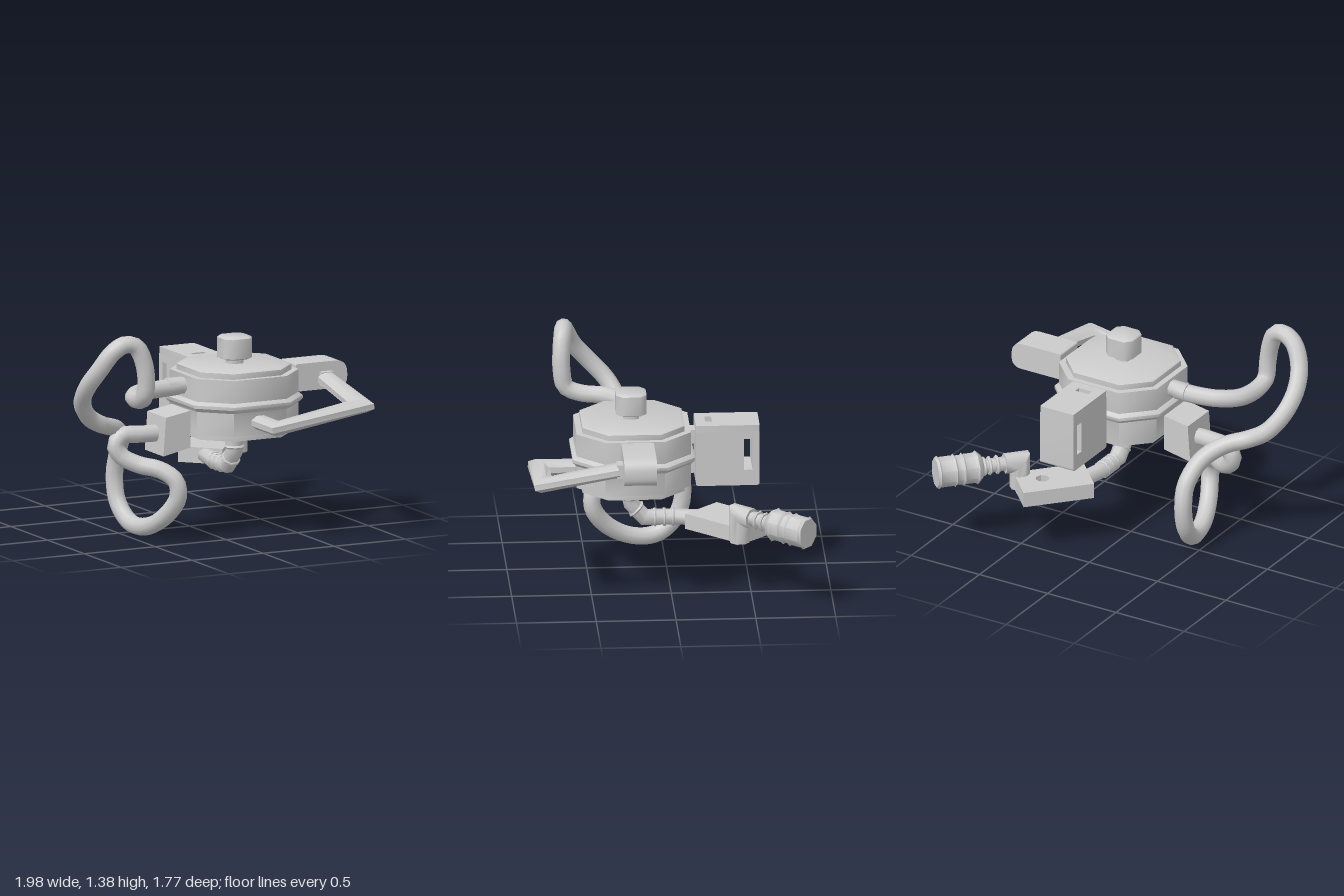
import * as THREE from 'three';
import { toCreasedNormals } from 'three/addons/utils/BufferGeometryUtils.js';

const V = (x, y, z) => new THREE.Vector3(x, y, z);
const UP = V(0, 1, 0), SIDE = V(1, 0, 0);

// Skin a list of equal rings (counter-clockwise around the path) and cap both ends
function loft(rings, crease = 0.9) {
  const n = rings[0].length, pos = [], idx = [];
  rings.forEach(r => r.forEach(p => pos.push(p.x, p.y, p.z)));
  for (let i = 0; i < rings.length - 1; i++)
    for (let j = 0; j < n; j++) {
      const k = (j + 1) % n, a = i * n + j, b = i * n + k;
      idx.push(a, b, b + n, a, b + n, a + n);
    }
  const last = (rings.length - 1) * n;
  for (let j = 1; j < n - 1; j++) idx.push(0, j + 1, j, last, last + j, last + j + 1);
  const g = new THREE.BufferGeometry();
  g.setAttribute('position', new THREE.Float32BufferAttribute(pos, 3));
  g.setIndex(idx);
  return toCreasedNormals(g, crease);
}

// Octagonal bar along a planar path with mitred corners; n is the plane normal
function sweep(pts, ra, rb, n, scales = []) {
  const rings = pts.map((p, i) => {
    const d0 = p.clone().sub(pts[Math.max(i - 1, 0)]).normalize();
    const d1 = pts[Math.min(i + 1, pts.length - 1)].clone().sub(p).normalize();
    const t = d0.clone().add(d1).normalize();
    const mitre = 1 / Math.max(0.5, t.dot(i ? d0 : d1));
    const u = n.clone().cross(t).normalize(), v = t.clone().cross(u);
    const s = (scales[i] ?? 1) / Math.cos(Math.PI / 8);
    return Array.from({ length: 8 }, (_, j) => {
      const a = (j + 0.5) * Math.PI / 4;
      return p.clone().addScaledVector(u, Math.cos(a) * ra * s * mitre).addScaledVector(v, Math.sin(a) * rb * s);
    });
  });
  return loft(rings);
}

// Stack of chamfered squares from [half width, y] pairs
function chamferStack(cx, cz, profile, ratio) {
  return loft(profile.map(([h, y]) => {
    const f = h * ratio;
    return [[f, h], [h, f], [h, -f], [f, -h], [-f, -h], [-h, -f], [-h, f], [-f, h]]
      .map(([x, z]) => V(cx + x, y, cz + z));
  }), 0.8);
}

// Rectangle outline with its own radius at each corner
function rounded(x0, y0, x1, y1, [bl, br, tr, tl], Type = THREE.Shape) {
  const s = new Type();
  s.moveTo(x0 + bl, y0).lineTo(x1 - br, y0).quadraticCurveTo(x1, y0, x1, y0 + br);
  s.lineTo(x1, y1 - tr).quadraticCurveTo(x1, y1, x1 - tr, y1);
  s.lineTo(x0 + tl, y1).quadraticCurveTo(x0, y1, x0, y1 - tl);
  s.lineTo(x0, y0 + bl).quadraticCurveTo(x0, y0, x0 + bl, y0);
  return s;
}
const extrude = (shape, depth) => toCreasedNormals(
  new THREE.ExtrudeGeometry(shape, { depth, bevelEnabled: false, curveSegments: 6 }), 0.6);

export function createModel() {
  const model = new THREE.Group();
  const mat = new THREE.MeshStandardMaterial({ color: 0xcccccc });
  const add = (name, geo) => {
    const m = new THREE.Mesh(geo, mat);
    m.name = name;
    model.add(m);
    return m;
  };
  const box = (name, x0, x1, y0, y1, z0, z1) =>
    add(name, new THREE.BoxGeometry(x1 - x0, y1 - y0, z1 - z0).translate((x0 + x1) / 2, (y0 + y1) / 2, (z0 + z1) / 2));

  // Eight-sided housing with a raised middle band and stepped ends
  add('housing', chamferStack(0.195, 0.228, [
    [0.32, 0.635], [0.32, 0.675], [0.358, 0.675], [0.358, 0.82], [0.382, 0.845], [0.382, 0.865],
    [0.358, 0.885], [0.358, 1.03], [0.32, 1.03], [0.32, 1.065], [0.305, 1.073]], 0.52));
  add('knob', chamferStack(0.195, 0.235, [
    [0.05, 1.06], [0.05, 1.1], [0.075, 1.1], [0.096, 1.11], [0.096, 1.235], [0.085, 1.245]], 0.58));

  // Side block with a rounded outer end
  add('sideBlock', extrude(rounded(0.585, 0.865, 0.945, 1.04, [0.01, 0.07, 0.085, 0.01]), 0.205).translate(0, 0, 0.115));
  box('sideBlockNeck', 0.53, 0.6, 0.9, 1.0, 0.175, 0.265);

  // Bent handle running from the side block round to the front of the housing
  box('handleCollar', 0.75, 0.83, 0.89, 0.98, 0.31, 0.36);
  add('handle', sweep([V(0.787, 0.935, 0.345), V(0.787, 0.845, 0.815), V(0.195, 0.752, 0.815), V(0.195, 0.752, 0.56)],
    0.062, 0.043, UP));

  // Rear box: slotted body, top layer with a small recess, two pegs
  const rear = rounded(0.165, 0.65, 0.565, 1.005, [0.02, 0.02, 0, 0]);
  rear.holes.push(rounded(0.465, 0.752, 0.52, 0.955, [0, 0, 0, 0], THREE.Path));
  add('rearBox', extrude(rear, 0.245).rotateY(Math.PI / 2).translate(0.077, 0, 0));
  const lid = rounded(0.077, 0.165, 0.322, 0.565, [0.01, 0.01, 0.01, 0.01]);
  lid.holes.push(rounded(0.147, 0.228, 0.242, 0.27, [0, 0, 0, 0], THREE.Path));
  add('rearBoxTop', extrude(lid, 0.045).rotateX(-Math.PI / 2).translate(0, 1.003, 0));
  for (const y of [0.755, 0.95]) box('rearPeg', 0.15, 0.24, y - 0.045, y + 0.045, -0.18, -0.1);

  // Pipe bending from under the housing to the plate, with rings
  add('underPipe', sweep([V(0.19, 0.65, 0.245), V(0.19, 0.54, 0.245), V(0.19, 0.5, 0.235), V(0.19, 0.405, 0.15),
    V(0.19, 0.405, -0.05), V(0.23, 0.405, -0.25)], 0.046, 0.052, SIDE));
  const ring = (p, d, r) => add('pipeRing', sweep(
    [-0.01, 0, 0.01].map(k => p.clone().addScaledVector(d, k)), r, r, Math.abs(d.y) > 0.9 ? SIDE : UP, [0.9, 1, 0.9]));
  ring(V(0.19, 0.54, 0.245), UP, 0.062);
  ring(V(0.19, 0.46, 0.2), V(0, -0.7, -0.7), 0.058);
  for (const z of [0.085, 0.025, -0.03]) ring(V(0.19, 0.405, z), V(0, 0, -1), 0.056);

  // Flat slanted plate with a hole
  const plate = new THREE.Shape([[0.39, 0.65], [0.08, 0.31], [0.285, 0.1], [0.595, 0.44]]
    .map(([x, y]) => new THREE.Vector2(x, y)));
  const hole = new THREE.Path();
  for (let i = 0; i < 8; i++) {
    const a = -i * Math.PI / 4, x = 0.395 + 0.045 * Math.cos(a), y = 0.415 + 0.045 * Math.sin(a);
    i ? hole.lineTo(x, y) : hole.moveTo(x, y);
  }
  hole.closePath();
  plate.holes.push(hole);
  add('plate', extrude(plate, 0.1).rotateX(-Math.PI / 2).translate(0, 0.355, 0));

  // Elbow rising from the plate, then a thin stem and ribbed plug along one axis
  const dir = V(0.67, 0, -0.742).normalize(), across = V(dir.z, 0, -dir.x);
  const base = V(0.555, 0.535, -0.425);
  const along = d => base.clone().addScaledVector(dir, d);
  add('elbow', sweep([V(0.555, 0.36, -0.425), base, along(0.1)], 0.06, 0.06, across));
  add('plugStem', sweep([along(0.08), along(0.3)], 0.042, 0.042, UP));
  for (const d of [0.15, 0.2, 0.235]) ring(along(d), dir, 0.058);
  const plugProfile = [[0.25, 0.75], [0.27, 0.95], [0.285, 1.08], [0.3, 0.96], [0.365, 0.96], [0.375, 1.06], [0.385, 0.93],
    [0.42, 0.93], [0.43, 1.06], [0.44, 0.97], [0.525, 0.97], [0.535, 1.06], [0.55, 0.96]];
  add('plug', sweep(plugProfile.map(p => along(p[0])), 0.084, 0.094, UP, plugProfile.map(p => p[1])));

  // Tapered lower socket on the left-out side of the hose
  const socket = new THREE.Shape([[-0.37, 0.545], [-0.18, 0.585], [-0.18, 0.82], [-0.352, 0.79]]
    .map(([x, y]) => new THREE.Vector2(x, y)));
  add('hoseSocket', extrude(socket, 0.255).translate(0, 0, 0.105));
  box('hoseSocketNeck', -0.2, -0.13, 0.7, 0.8, 0.18, 0.28);

  // Long looping hose from the upper collar back to the socket
  add('hoseCollar', sweep([V(-0.28, 0.96, 0.225), V(-0.14, 0.96, 0.225)], 0.053, 0.05, UP));
  const path = [
    [-0.2, 0.955, 0.225], [-0.33, 0.95, 0.235], [-0.48, 0.95, 0.27], [-0.58, 0.945, 0.36], [-0.615, 0.95, 0.5],
    [-0.625, 0.99, 0.595], [-0.625, 1.1, 0.62], [-0.645, 1.22, 0.62], [-0.69, 1.315, 0.61], [-0.76, 1.335, 0.6],
    [-0.84, 1.29, 0.585], [-0.91, 1.17, 0.53], [-0.942, 1.05, 0.43], [-0.92, 0.93, 0.32], [-0.84, 0.82, 0.25],
    [-0.73, 0.755, 0.215], [-0.6, 0.71, 0.14], [-0.5, 0.63, 0.03], [-0.46, 0.5, -0.09], [-0.462, 0.36, -0.13],
    [-0.46, 0.2, -0.1], [-0.44, 0.09, 0], [-0.42, 0.062, 0.1], [-0.39, 0.09, 0.24], [-0.345, 0.18, 0.37],
    [-0.31, 0.3, 0.445], [-0.325, 0.4, 0.44], [-0.4, 0.465, 0.37], [-0.5, 0.49, 0.28], [-0.59, 0.54, 0.22],
    [-0.625, 0.61, 0.2], [-0.575, 0.67, 0.2], [-0.47, 0.672, 0.22], [-0.3, 0.67, 0.23]];
  const curve = new THREE.CatmullRomCurve3(path.map(p => V(...p)));
  add('hose', new THREE.TubeGeometry(curve, 120, 0.056, 10));
  return model;
}
